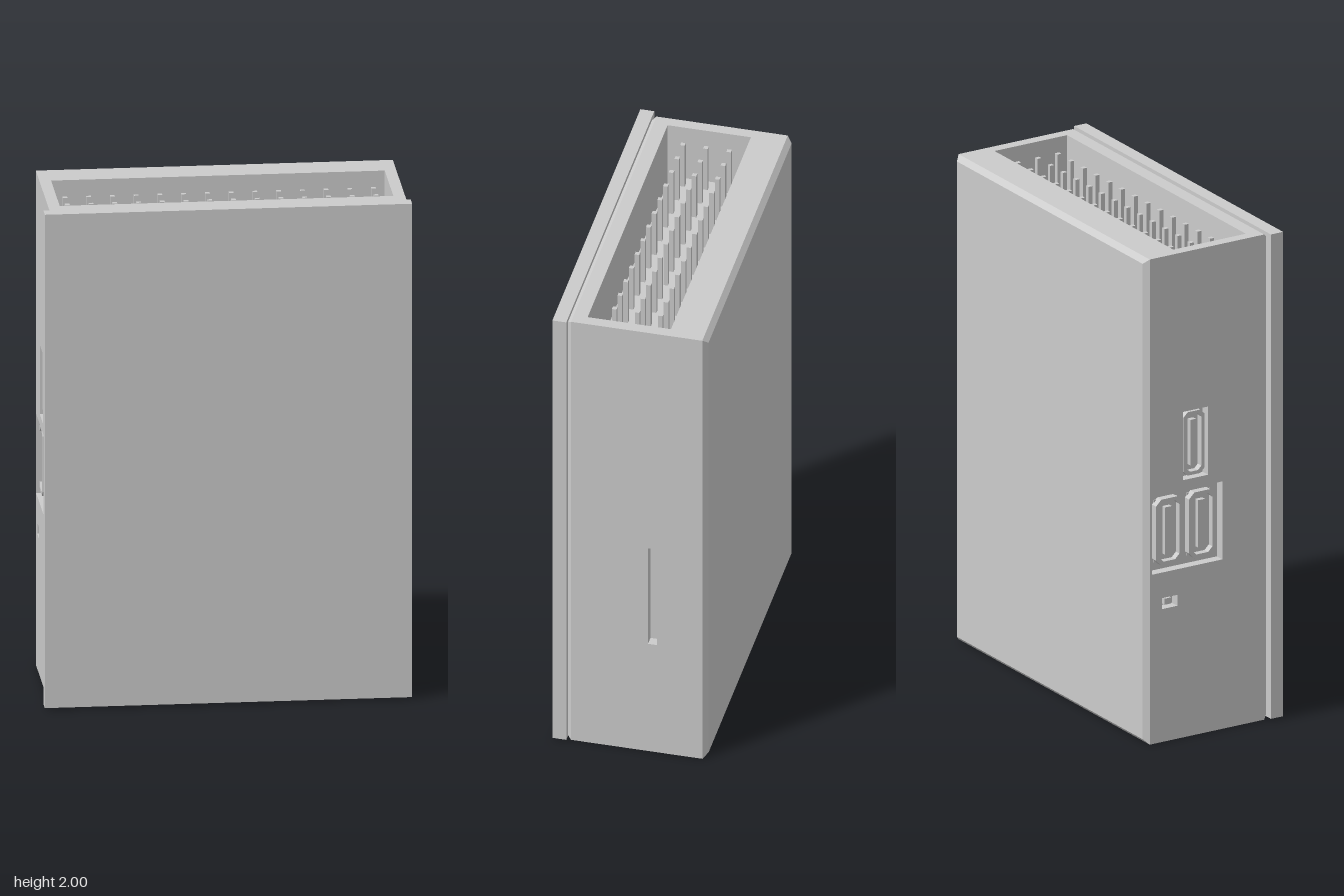
import * as THREE from 'three';

const material = new THREE.MeshStandardMaterial({ color: 0xcccccc, flatShading: true });

// Body limits
const X0 = -0.685, X1 = 0.695, Y0 = 0.005, Y1 = 1.995, Z0 = -0.285, Z1 = 0.235;
const MX = (X0 + X1) / 2;

function add(parent, name, geometry) {
  const mesh = new THREE.Mesh(geometry, material);
  mesh.name = name;
  parent.add(mesh);
  return mesh;
}

// Box given by its limits
function box(x0, x1, y0, y1, z0, z1) {
  return new THREE.BoxGeometry(x1 - x0, y1 - y0, z1 - z0)
    .translate((x0 + x1) / 2, (y0 + y1) / 2, (z0 + z1) / 2);
}

function outline(Type, u0, u1, v0, v1, c = 0) {
  const p = c
    ? [[u0 + c, v0], [u1 - c, v0], [u1, v0 + c], [u1, v1 - c], [u1 - c, v1], [u0 + c, v1], [u0, v1 - c], [u0, v0 + c]]
    : [[u0, v0], [u1, v0], [u1, v1], [u0, v1]];
  return new Type(p.map(([a, b]) => new THREE.Vector2(a, b)));
}

// Flat plate with rectangular cut-outs, extruded along +z
function plate(limits, holes, depth) {
  const shape = outline(THREE.Shape, ...limits);
  for (const h of holes) shape.holes.push(outline(THREE.Path, ...h));
  return new THREE.ExtrudeGeometry(shape, { depth, bevelEnabled: false });
}

// Cover whose outer face is smaller, giving a chamfered rim
function cover(zInner, zOuter, chamfer) {
  const g = box(X0, X1, Y0, Y1, Math.min(zInner, zOuter), Math.max(zInner, zOuter));
  const p = g.attributes.position;
  for (let i = 0; i < p.count; i++) {
    if (Math.abs(p.getZ(i) - zOuter) > 1e-4) continue;
    p.setX(i, p.getX(i) - Math.sign(p.getX(i) - MX) * chamfer);
    p.setY(i, p.getY(i) - Math.sign(p.getY(i) - 1) * chamfer);
  }
  g.computeVertexNormals();
  return g;
}

// Socket opening towards local +z: shell ring, back and contact tongue
function socket(name, w, h, depth) {
  const g = new THREE.Group();
  g.name = name;
  const a = w / 2, b = h / 2, t = 0.014, c = Math.min(w, h) * 0.2;
  add(g, 'socketShell', plate([-a, a, -b, b, c], [[-a + t, a - t, -b + t, b - t, c * 0.8]], depth));
  add(g, 'socketBack', box(-a + t / 2, a - t / 2, -b + t / 2, b - t / 2, 0, 0.004));
  const tw = w > h ? w * 0.36 : w * 0.13, th = w > h ? h * 0.13 : h * 0.36;
  add(g, 'contactTongue', box(-tw, tw, -th, th, 0, depth * 0.8));
  return g;
}

export function createModel() {
  const model = new THREE.Group();
  model.name = 'deviceEnclosure';

  // Front panel and chamfered covers
  add(model, 'frontPanel', box(-0.71, 0.71, 0.013, 2, 0.25, 0.305));
  add(model, 'frontCover', cover(Z1, 0.252, 0.014));
  add(model, 'backCover', cover(Z0, -0.305, 0.02));

  // Top wall with a deep well for the pin header
  const wellDepth = 0.28;
  add(model, 'topWall', plate([X0, X1, -Z1, -Z0], [[-0.64, 0.65, -0.18, 0.15]], wellDepth)
    .rotateX(-Math.PI / 2).translate(0, Y1 - wellDepth, 0));
  add(model, 'wellFloor', box(-0.66, 0.67, 1.69, 1.72, -0.17, 0.2));

  // Header block with a notch between neighbouring pin columns
  const header = new THREE.Group();
  header.name = 'pinHeader';
  model.add(header);
  const columns = 14, pitch = 0.0918, first = -0.594;
  const edge = [];
  for (let i = 0; i < columns; i++) {
    const x = first + i * pitch;
    edge.push([x - 0.046, 0.12], [x - 0.026, 0.138], [x + 0.026, 0.138]);
  }
  edge.push([first + (columns - 0.5) * pitch, 0.12]);
  const points = [...edge, ...edge.map(([x, v]) => [x, -v]).reverse()]
    .map(([x, v]) => new THREE.Vector2(x, v));
  add(header, 'headerBlock',
    new THREE.ExtrudeGeometry(new THREE.Shape(points), { depth: 0.04, bevelEnabled: false })
      .rotateX(-Math.PI / 2).translate(0, 1.715, 0.017));
  for (let i = 0; i < columns; i++) {
    for (const z of [-0.075, 0.017, 0.108]) {
      const x = first + i * pitch;
      add(header, 'pin', box(x - 0.009, x + 0.009, 1.74, 1.95, z - 0.009, z + 0.009));
    }
  }

  // Bottom wall with a shallow recess holding two rows of sockets
  add(model, 'bottomWall', plate([X0, X1, -Z1, -Z0], [[-0.64, 0.65, -0.185, 0.235]], 0.07)
    .rotateX(-Math.PI / 2).translate(0, Y0, 0));
  add(model, 'bottomRecessFloor', box(-0.66, 0.67, 0.07, 0.09, -0.25, 0.2));
  for (const x of [-0.42, 0.005, 0.43]) {
    for (const z of [-0.125, 0.075]) {
      const s = socket('bottomSocket', 0.36, 0.13, 0.045);
      s.rotation.x = Math.PI / 2;
      s.position.set(x, 0.072, z);
      model.add(s);
    }
  }

  // Side walls with their cut-outs
  const y0 = Y0 + 0.07, y1 = Y1 - wellDepth, t = 0.04;
  const side = (name, x, holes) => add(model, name,
    plate([-Z1, -Z0, y0, y1], holes, t).rotateY(Math.PI / 2).translate(x, 0, 0));
  side('leftWall', X1 - t, [[0.07, 0.105, 0.515, 0.97]]);
  add(model, 'cardSlotBack', box(X1 - t - 0.01, X1 - t, 0.5, 0.99, -0.12, -0.055));
  side('rightWall', X0, [
    [0.02, 0.135, 1.06, 1.34],
    [-0.045, 0.275, 0.7, 1.02],
    [0.16, 0.23, 0.55, 0.595],
  ]);
  add(model, 'sidePortBack', box(X0 + t, X0 + t + 0.01, 0.53, 1.36, -0.28, 0.06));

  // Side sockets and the small button
  for (const [y, z, w, h] of [[1.2, -0.078, 0.095, 0.26], [0.86, -0.19, 0.12, 0.27], [0.86, -0.04, 0.12, 0.27]]) {
    const s = socket('sideSocket', w, h, 0.03);
    s.rotation.y = -Math.PI / 2;
    s.position.set(X0 + t, y, z);
    model.add(s);
  }
  add(model, 'sideButton', box(X0 + 0.012, X0 + t, 0.56, 0.585, -0.21, -0.18));

  return model;
}
